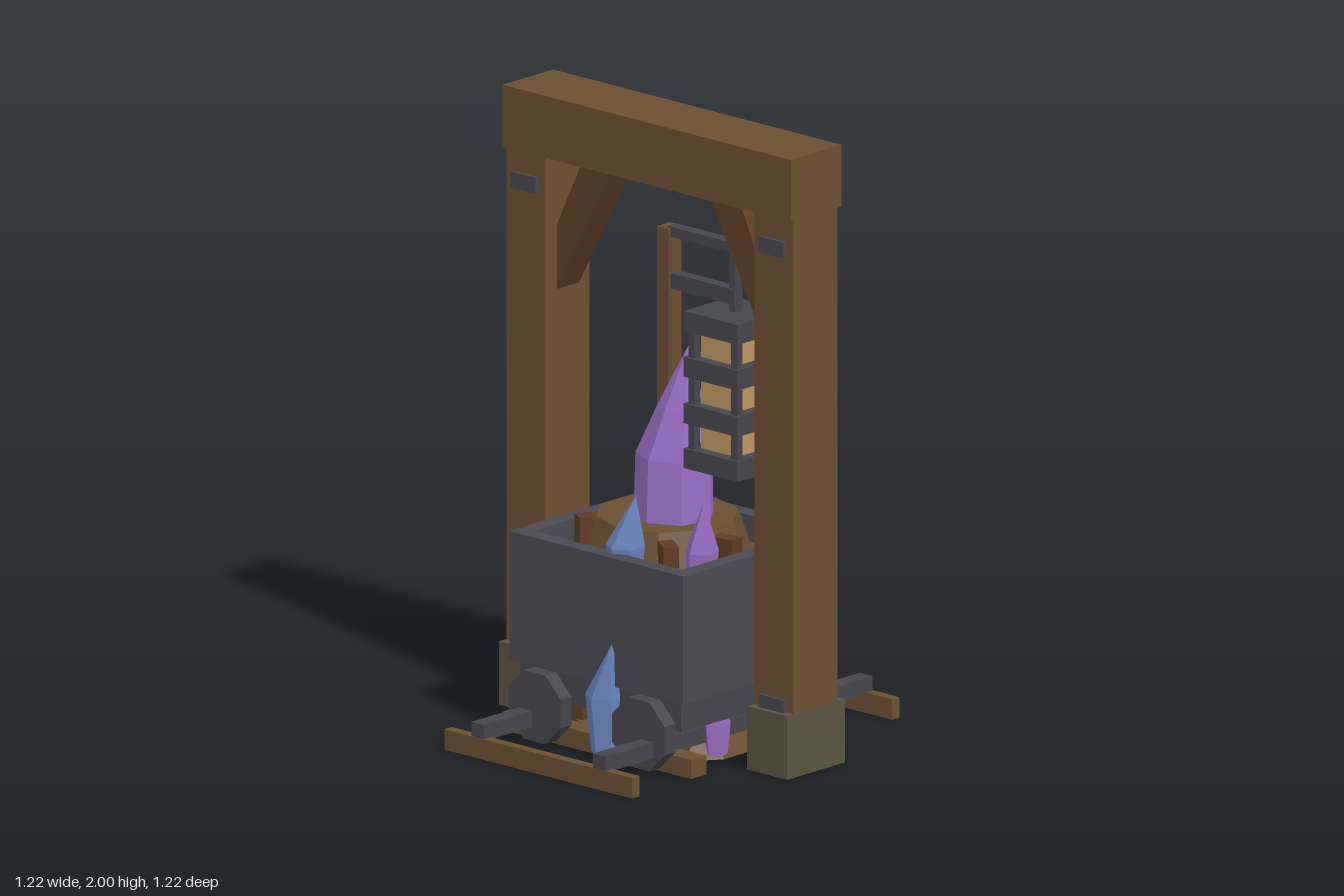
import * as THREE from 'three';

const mat = (color) => new THREE.MeshStandardMaterial({ color, flatShading: true });

export function createModel() {
  const root = new THREE.Group();
  const wood = mat(0x6b5031), darkWood = mat(0x5f3d24), iron = mat(0x46464d), steel = mat(0x4b4a52);
  const stone = mat(0x5b5340), blue = mat(0x6a86c2), purple = mat(0x9c6fc8), glass = mat(0xbd9860);

  const add = (name, geometry, material, x = 0, y = 0, z = 0, parent = root) => {
    const mesh = new THREE.Mesh(geometry, material);
    mesh.name = name;
    mesh.position.set(x, y, z);
    parent.add(mesh);
    return mesh;
  };
  // Box given by its lower and upper corners
  const span = (name, material, x0, x1, y0, y1, z0, z1, parent = root) =>
    add(name, new THREE.BoxGeometry(x1 - x0, y1 - y0, z1 - z0), material,
      (x0 + x1) / 2, (y0 + y1) / 2, (z0 + z1) / 2, parent);

  // Faceted crystal: rings of [x, y, z, radius], from bottom to tip
  const crystal = (name, material, sides, rings) => {
    const n = rings.length - 1;
    const g = new THREE.CylinderGeometry(1, 1, 1, sides, n);
    const p = g.attributes.position;
    for (let i = 0; i < p.count; i++) {
      const [x, y, z, r] = rings[Math.round((p.getY(i) + 0.5) * n)];
      p.setXYZ(i, x + p.getX(i) * r, y, z + p.getZ(i) * r);
    }
    g.computeVertexNormals();
    return add(name, g, material);
  };

  // Gate frame
  span('topBeam', wood, -0.61, 0.61, 1.8, 2, -0.115, 0.115);
  const braceShape = new THREE.Shape([[0.44, 1.36], [0.44, 1.57], [0.33, 1.8], [0.2, 1.8]]
    .map(([x, y]) => new THREE.Vector2(x, y)));
  for (const s of [-1, 1]) {
    const x = s * 0.525;
    span('post', wood, x - 0.083, x + 0.083, 0.05, 1.8, -0.1, 0.1);
    span('stoneFoot', stone, x - 0.085, x + 0.085, 0, 0.205, -0.132, 0.132);
    for (const y of [0.22, 1.7])
      span('ironPlate', iron, x - 0.053, x + 0.053, y - 0.026, y + 0.026, 0.09, 0.114);
    const brace = add('brace', new THREE.ExtrudeGeometry(braceShape, { depth: 0.1, bevelEnabled: false }),
      darkWood, 0, 0, s * -0.05);
    if (s < 0) { brace.rotation.y = Math.PI; brace.position.z = 0.05; } else brace.position.z = -0.05;
  }

  // Cart body: open box with thick walls, chassis and earth filling
  const outline = (w, d) => [[-w, -d], [w, -d], [w, d], [-w, d]].map(([x, y]) => new THREE.Vector2(x, y));
  const wall = new THREE.Shape(outline(0.368, 0.345));
  wall.holes.push(new THREE.Path(outline(0.315, 0.292)));
  add('cartWalls', new THREE.ExtrudeGeometry(wall, { depth: 0.415, bevelEnabled: false }), steel, 0, 0.24)
    .rotation.x = -Math.PI / 2;
  span('chassis', iron, -0.34, 0.34, 0.14, 0.25, -0.325, 0.325);
  span('earthFill', wood, -0.316, 0.316, 0.2, 0.57, -0.293, 0.293);
  for (const sx of [-1, 1]) for (const sz of [-1, 1])
    add('cornerIron', new THREE.BoxGeometry(0.05, 0.38, 0.05), iron, sx * 0.295, 0.44, sz * 0.27);

  // Earth mound and loose lumps
  add('mound', new THREE.CylinderGeometry(0.225, 0.275, 0.15, 10), wood, -0.02, 0.635, 0);
  [[-0.17, -0.21, 0.6], [0.17, 0.2, -0.6], [0.25, 0.02, 0.1], [-0.23, 0.13, 1.1]].forEach(([x, z, turn]) => {
    add('lump', new THREE.BoxGeometry(0.08, 0.12, 0.05), darkWood, x, 0.63, z).rotation.y = turn;
  });

  // Wheels, axles, rails and sleepers
  for (const sz of [-1, 1]) {
    for (const sx of [-1, 1]) {
      const wheel = add('wheel', new THREE.CylinderGeometry(0.12, 0.12, 0.05, 8), iron, sx * 0.22, 0.125, sz * 0.365);
      wheel.rotation.set(Math.PI / 2, Math.PI / 8, 0);
    }
    span('rail', wood, -0.397, 0.397, 0, 0.066, sz * 0.593 - 0.017, sz * 0.593 + 0.017);
    span('sleeper', wood, -0.397, 0.397, 0.005, 0.066, sz * 0.305 - 0.035, sz * 0.305 + 0.035);
  }
  for (const x of [-0.257, 0.257]) span('axle', iron, x - 0.027, x + 0.027, 0.06, 0.112, -0.608, 0.608);

  // Ground patch and supports below the cart
  add('groundPatch', new THREE.CylinderGeometry(0.3, 0.33, 0.06, 10), wood, 0, 0.031, 0);
  for (const sx of [-1, 1]) for (const sz of [-1, 1])
    add('support', new THREE.BoxGeometry(0.08, 0.15, 0.07), darkWood, sx * 0.2, 0.08, sz * 0.2);

  // Crystals
  crystal('largeCrystal', purple, 7, [[0.01, 0.6, 0, 0.13], [0.015, 0.91, 0, 0.125], [0.04, 1.07, 0, 0.075], [0.07, 1.27, 0, 0]]);
  crystal('blueCrystal', blue, 6, [[0.03, 0.55, 0.25, 0.05], [0.035, 0.67, 0.25, 0.063], [0.07, 0.835, 0.24, 0]]);
  crystal('purpleCrystal', purple, 5, [[0.25, 0.55, 0.14, 0.045], [0.255, 0.67, 0.14, 0.055], [0.275, 0.835, 0.15, 0]]);
  crystal('frontCrystal', blue, 6, [[0.03, 0.02, 0.33, 0.05], [0.025, 0.2, 0.33, 0.065], [0.075, 0.38, 0.355, 0]]);
  crystal('backCrystal', blue, 6, [[-0.12, 0.02, -0.3, 0.045], [-0.12, 0.13, -0.3, 0.05], [-0.12, 0.24, -0.31, 0]]);
  crystal('sideCrystal', purple, 5, [[0.3, 0.02, 0.12, 0.035], [0.3, 0.12, 0.12, 0.045], [0.33, 0.22, 0.13, 0]]);

  // Lantern pole and bracket
  span('lanternPole', wood, -0.035, 0.012, 0.68, 1.64, -0.03, 0.03);
  span('upperArm', iron, 0, 0.28, 1.612, 1.645, -0.02, 0.02);
  span('lowerArm', iron, 0, 0.28, 1.445, 1.495, -0.02, 0.02);
  span('hanger', iron, 0.257, 0.28, 1.41, 1.63, -0.015, 0.015);

  // Lantern
  const lantern = new THREE.Group();
  lantern.name = 'lantern';
  lantern.position.x = 0.267;
  root.add(lantern);
  span('lanternGlass', glass, -0.075, 0.075, 0.93, 1.4, -0.075, 0.075, lantern);
  for (const y of [0.945, 1.09, 1.24, 1.388])
    span('lanternBand', iron, -0.115, 0.115, y - 0.032, y + 0.032, -0.112, 0.112, lantern);
  for (const sx of [-1, 1]) for (const sz of [-1, 1])
    add('lanternBar', new THREE.BoxGeometry(0.025, 0.45, 0.025), iron, sx * 0.09, 1.165, sz * 0.09, lantern);

  return root;
}
